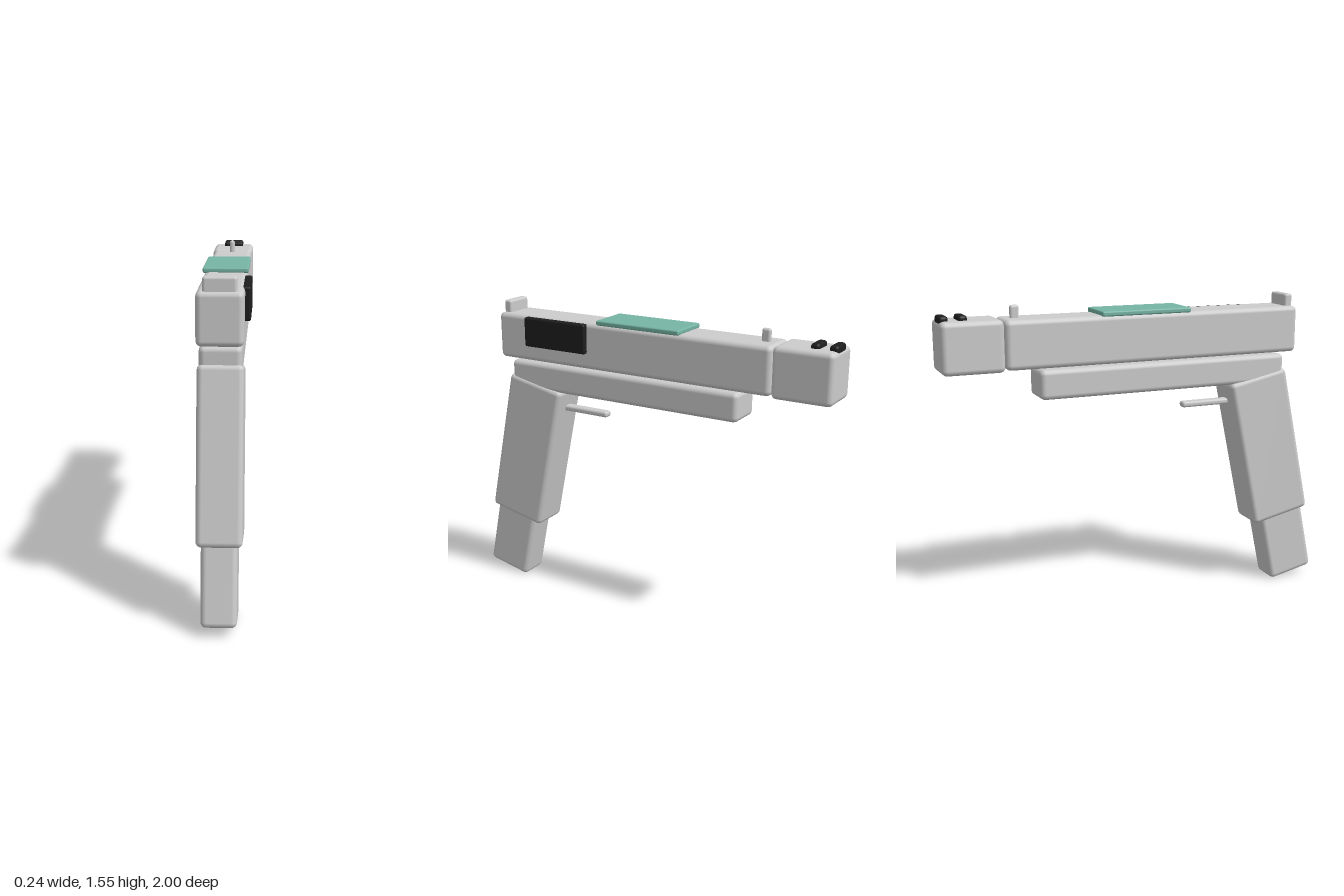
import * as THREE from 'three';
import { RoundedBoxGeometry } from 'three/addons/geometries/RoundedBoxGeometry.js';

function material(name, color) {
  const m = new THREE.MeshStandardMaterial({ color });
  m.name = name;
  return m;
}

export function createModel() {
  const group = new THREE.Group();
  const grey = material('light grey', 0xcccccc);
  const black = material('black', 0x1e1e1e);
  const green = material('sea green', 0x76b5a4);

  // Soft-edged box given by its size and centre, optionally tilted about x
  function block(name, mat, size, centre, radius, tilt = 0) {
    const mesh = new THREE.Mesh(new RoundedBoxGeometry(...size, 2, radius), mat);
    mesh.name = name;
    mesh.position.set(...centre);
    mesh.rotation.x = tilt;
    group.add(mesh);
  }

  // Upper body, front block and lower rail
  block('upperBody', grey, [0.205, 0.235, 1.54], [-0.011, 1.382, 0.07], 0.025);
  block('frontBlock', grey, [0.217, 0.245, 0.295], [-0.011, 1.382, -0.852], 0.025);
  block('lowerRail', grey, [0.188, 0.145, 1.31], [-0.011, 1.183, 0.12], 0.025);

  // Raked grip with a narrower insert sliding out of its base
  const rake = -0.21;
  block('grip', grey, [0.204, 0.79, 0.325], [-0.011, 0.762, 0.71], 0.025, rake);
  block('gripInsert', grey, [0.16, 0.6, 0.252], [-0.011, 0.325, 0.818], 0.025, rake);
  block('trigger', grey, [0.05, 0.03, 0.27], [-0.011, 1.015, 0.37], 0.012);

  // Sights
  block('rearSight', grey, [0.145, 0.09, 0.043], [-0.011, 1.515, 0.803], 0.012);
  block('frontSight', grey, [0.026, 0.09, 0.044], [-0.011, 1.515, -0.631], 0.012);

  // Side panel, top plate and front vents
  block('sidePanel', black, [0.038, 0.15, 0.367], [0.098, 1.42, 0.477], 0.01);
  block('topPlate', green, [0.217, 0.025, 0.462], [-0.011, 1.508, 0.003], 0.008);
  for (const z of [-0.973, -0.885]) {
    block('vent', black, [0.105, 0.045, 0.044], [-0.011, 1.505, z], 0.015);
  }

  return group;
}
